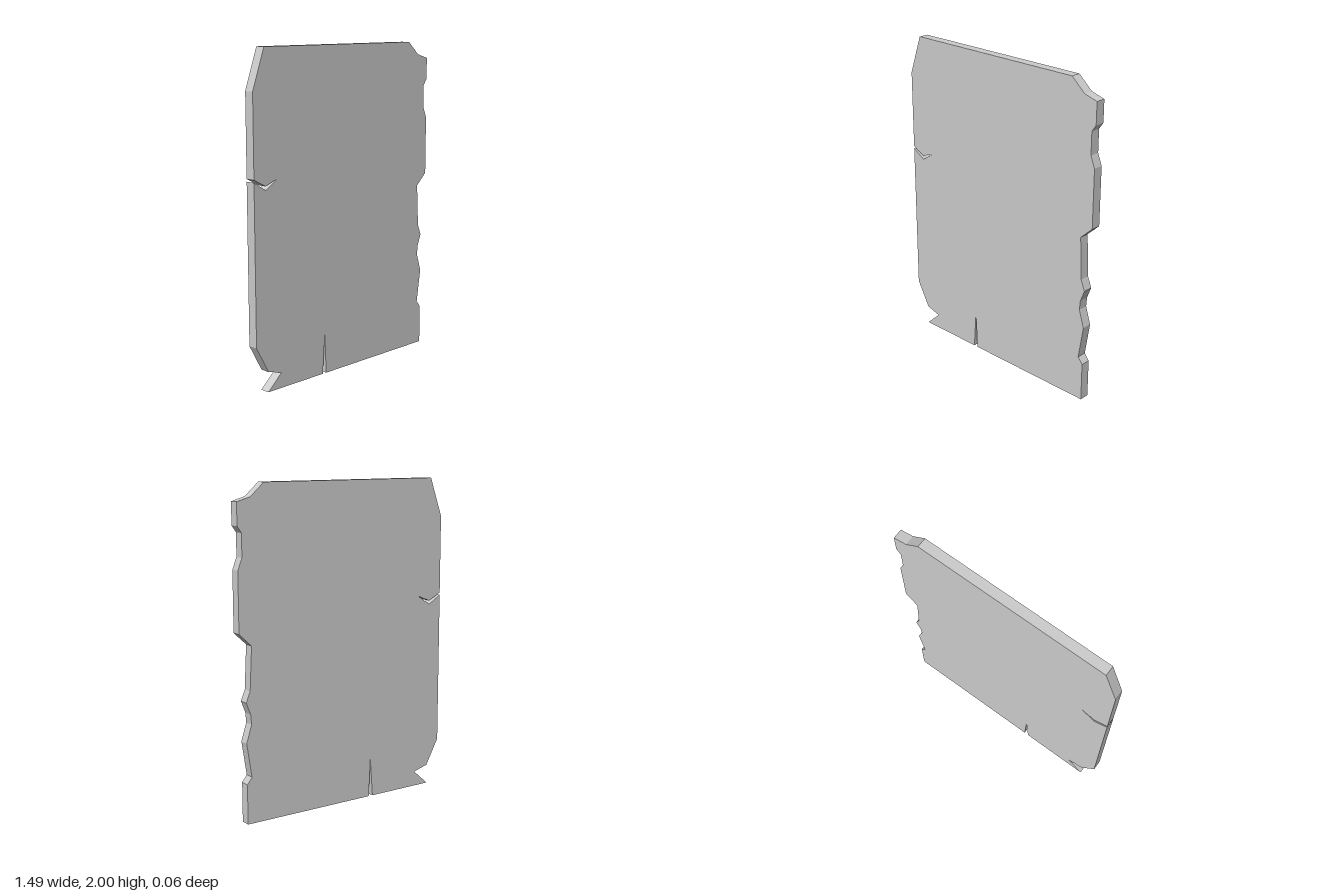
import * as THREE from 'three';

const THICKNESS = 0.062;

// Torn outline, counter-clockwise from the lower left corner
const OUTLINE = [
  // bottom edge with a narrow split
  [-0.66, 0], [-0.212, 0], [-0.194, 0.25], [-0.183, 0], [0.705, 0],
  // ragged edge
  [0.705, 0.245], [0.673, 0.285], [0.705, 0.495], [0.67, 0.605], [0.675, 0.665],
  [0.703, 0.738], [0.676, 0.805], [0.662, 1.07], [0.743, 1.145], [0.743, 1.51],
  [0.715, 1.58], [0.715, 1.72], [0.743, 1.76], [0.743, 1.895],
  // top edge with chipped corners
  [0.655, 1.92], [0.565, 2], [-0.66, 2], [-0.747, 1.757],
  // bent crack in the straight edge
  [-0.747, 1.265], [-0.66, 1.22], [-0.57, 1.255], [-0.66, 1.197], [-0.747, 1.25],
  // broken lower corner
  [-0.747, 0.287], [-0.657, 0.123], [-0.555, 0.095],
];

export function createModel() {
  const group = new THREE.Group();
  group.name = 'tornSheet';

  // Flat slab cut to the torn outline
  const shape = new THREE.Shape(OUTLINE.map(([x, y]) => new THREE.Vector2(x, y)));
  const geometry = new THREE.ExtrudeGeometry(shape, { depth: THICKNESS, bevelEnabled: false });
  geometry.translate(0, 0, -THICKNESS / 2);

  const slab = new THREE.Mesh(
    geometry,
    new THREE.MeshStandardMaterial({ color: 0xcccccc, flatShading: true }),
  );
  slab.name = 'slab';
  group.add(slab);
  return group;
}
